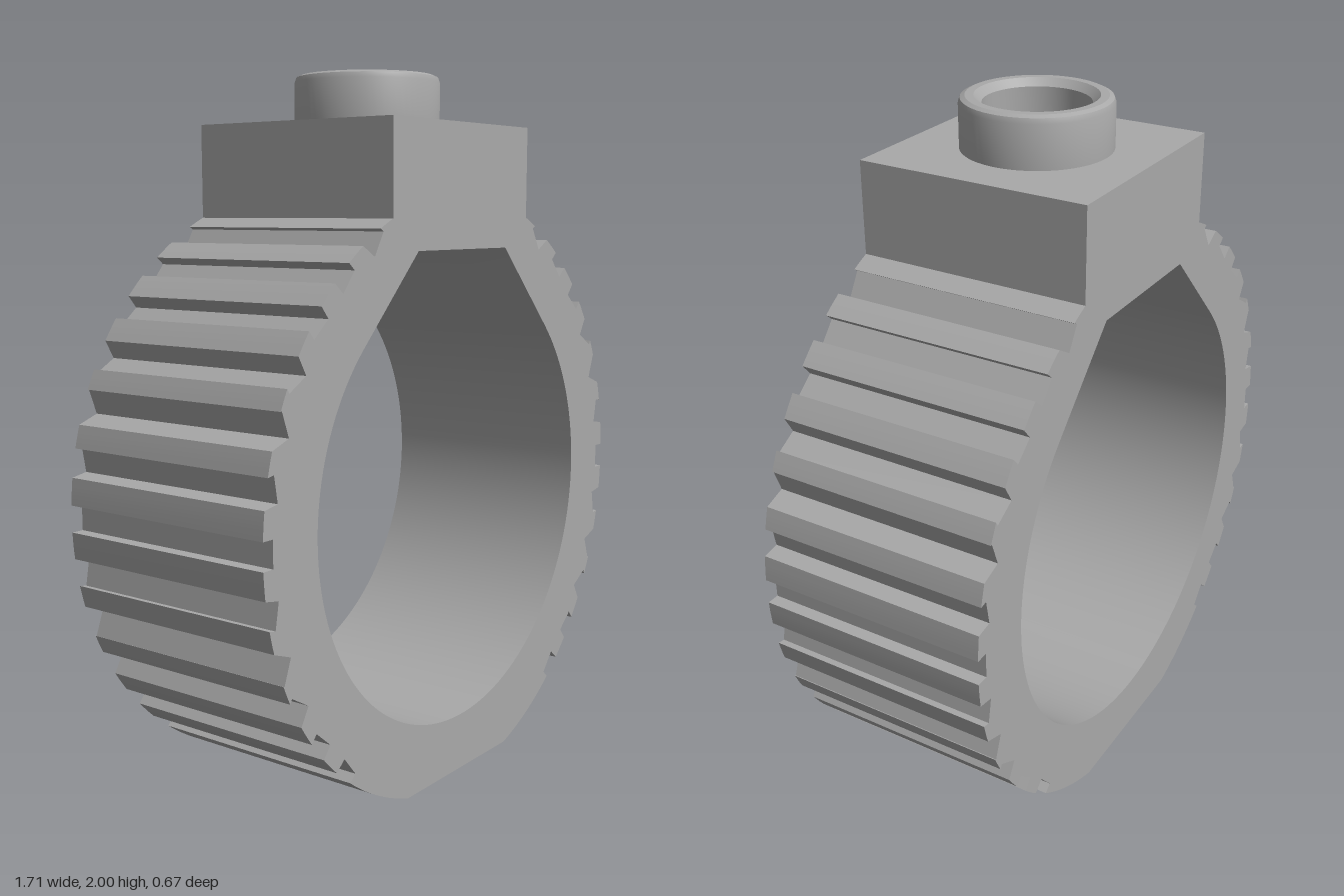
import * as THREE from 'three';
import { toCreasedNormals } from 'three/addons/utils/BufferGeometryUtils.js';

const CY = 0.815;      // height of the ring centre
const R = 0.854;       // outer radius
const INNER = 0.65;    // inner radius
const HALF = 0.335;    // half width of the band and of the top block
const NOTCH = 0.0365;  // half side of each square grip notch
const RAD = Math.PI / 180;

// Part of a square notch that lies inside the outer circle, lower side first
function notchPoints(deg) {
  const a = deg * RAD;
  const centre = new THREE.Vector2(R * Math.cos(a), R * Math.sin(a));
  let corners = [[1, 1], [1, -1], [-1, -1], [-1, 1]].map(([x, y]) =>
    new THREE.Vector2(x * NOTCH, y * NOTCH).rotateAround(new THREE.Vector2(), -a).add(centre));
  const far = corners.reduce((m, c, i) => (c.length() > corners[m].length() ? i : m), 0);
  corners = corners.map((_, i) => corners[(i + far) % 4]);

  const crossing = (p, q) => {
    const d = q.clone().sub(p);
    const A = d.dot(d), B = 2 * p.dot(d), C = p.dot(p) - R * R;
    const s = Math.sqrt(B * B - 4 * A * C);
    const t = [(-B - s) / (2 * A), (-B + s) / (2 * A)].find((v) => v >= 0 && v <= 1);
    return p.clone().addScaledVector(d, t);
  };

  const points = [];
  for (let i = 0; i < 4; i++) {
    const p = corners[i], q = corners[(i + 1) % 4];
    const pIn = p.length() < R, qIn = q.length() < R;
    if (pIn !== qIn) points.push(crossing(p, q));
    if (qIn) points.push(q);
  }
  return points;
}

// Right half of the outline, from the flat base up to the top block
function halfOutline() {
  const points = [];
  const arcTo = (from, to) => {
    const n = Math.max(1, Math.round((to - from) / (1.5 * RAD)));
    for (let i = 1; i < n; i++) {
      const a = from + ((to - from) * i) / n;
      points.push(new THREE.Vector2(R * Math.cos(a), R * Math.sin(a)));
    }
  };
  let angle = -Math.acos(0) + Math.acos(CY / R);
  points.push(new THREE.Vector2(R * Math.cos(angle), -CY));
  for (let deg = -50; deg <= 60; deg += 10) {
    const notch = notchPoints(deg);
    arcTo(angle, notch[0].angle() > Math.PI ? notch[0].angle() - 2 * Math.PI : notch[0].angle());
    points.push(...notch);
    const last = notch[notch.length - 1];
    angle = Math.atan2(last.y, last.x);
  }
  const end = Math.acos(HALF / R);
  arcTo(angle, end);
  points.push(new THREE.Vector2(HALF, R * Math.sin(end)));
  points.push(new THREE.Vector2(HALF, 1.86 - CY));
  return points;
}

export function createModel() {
  const model = new THREE.Group();
  model.name = 'studdedRing';
  const grey = new THREE.MeshStandardMaterial({ color: 0xa9a9a9 });
  grey.name = 'grey';

  // Notched band with its top block, cut by the finger opening
  const right = halfOutline();
  const left = right.map((p) => new THREE.Vector2(-p.x, p.y)).reverse();
  const shape = new THREE.Shape([...right, ...left]);

  const opening = [];
  for (let i = 0; i <= 108; i++) {
    const a = (135 + 2.5 * i) * RAD;
    opening.push(new THREE.Vector2(INNER * Math.cos(a), INNER * Math.sin(a)));
  }
  const flat = 1.515 - CY;
  const flatX = INNER * Math.SQRT2 - flat;
  opening.push(new THREE.Vector2(flatX, flat), new THREE.Vector2(-flatX, flat));
  shape.holes.push(new THREE.Path(opening));

  const bandGeometry = new THREE.ExtrudeGeometry(shape, { depth: 2 * HALF, bevelEnabled: false });
  bandGeometry.translate(0, CY, -HALF);
  const band = new THREE.Mesh(toCreasedNormals(bandGeometry, 0.15), grey);
  band.name = 'band';
  model.add(band);

  // Hollow stud with softened rims
  const profile = [
    [0.208, 1.86], [0.208, 1.98], [0.203, 1.994], [0.19, 2],
    [0.167, 2], [0.146, 1.98], [0.146, 1.862], [0, 1.862],
  ].map(([x, y]) => new THREE.Vector2(x, y));
  const stud = new THREE.Mesh(toCreasedNormals(new THREE.LatheGeometry(profile, 64), 0.4), grey);
  stud.name = 'stud';
  model.add(stud);

  return model;
}
